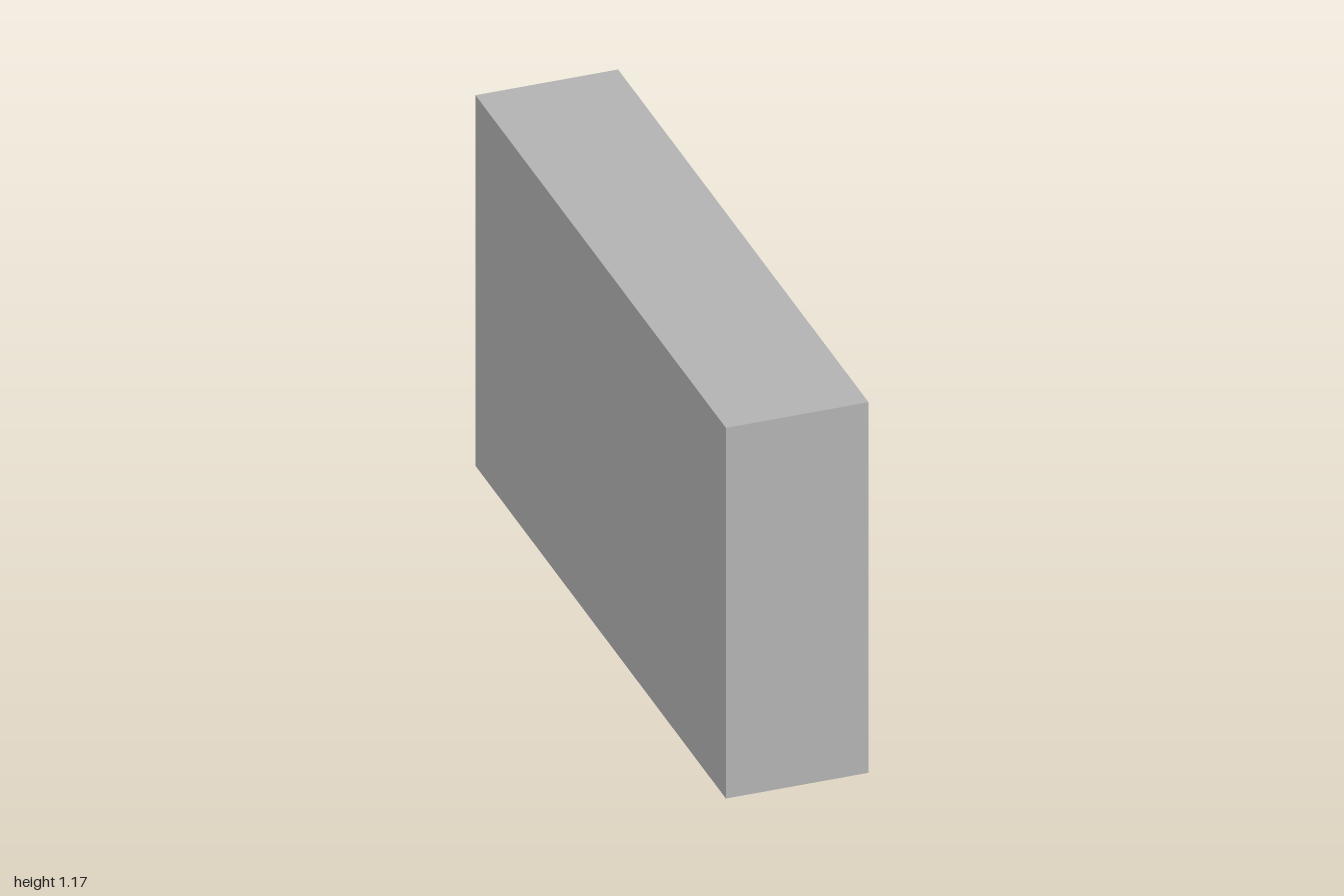
import * as THREE from 'three';

const WIDTH = 0.42, HEIGHT = 1.175, LENGTH = 2, BACK = 0.057;

// Rectangular outline, u along the length and v upward
function rect(Type, u0, u1, v0, v1) {
  const path = new Type();
  path.moveTo(u0, v0);
  path.lineTo(u1, v0);
  path.lineTo(u1, v1);
  path.lineTo(u0, v1);
  path.closePath();
  return path;
}

export function createModel() {
  const group = new THREE.Group();
  const grey = new THREE.MeshStandardMaterial({ color: 0xb2b2b2 });
  grey.name = 'grey';

  // Solid base, sides, dividers and top, with three open compartments towards +x
  const face = rect(THREE.Shape, -LENGTH / 2, LENGTH / 2, 0, HEIGHT);
  for (const [u0, u1] of [[-0.983, -0.523], [-0.503, 0.487], [0.507, 0.983]]) {
    face.holes.push(rect(THREE.Path, u0, u1, 0.728, 1.138));
  }
  const carcassGeometry = new THREE.ExtrudeGeometry(face, { depth: WIDTH - BACK, bevelEnabled: false });
  carcassGeometry.rotateY(Math.PI / 2);
  const carcass = new THREE.Mesh(carcassGeometry, grey);
  carcass.name = 'carcass';
  carcass.position.x = -WIDTH / 2 + BACK;
  group.add(carcass);

  // Plain back closing the compartments
  const back = new THREE.Mesh(new THREE.BoxGeometry(BACK, HEIGHT, LENGTH), grey);
  back.name = 'backPanel';
  back.position.set(-WIDTH / 2 + BACK / 2, HEIGHT / 2, 0);
  group.add(back);

  return group;
}
